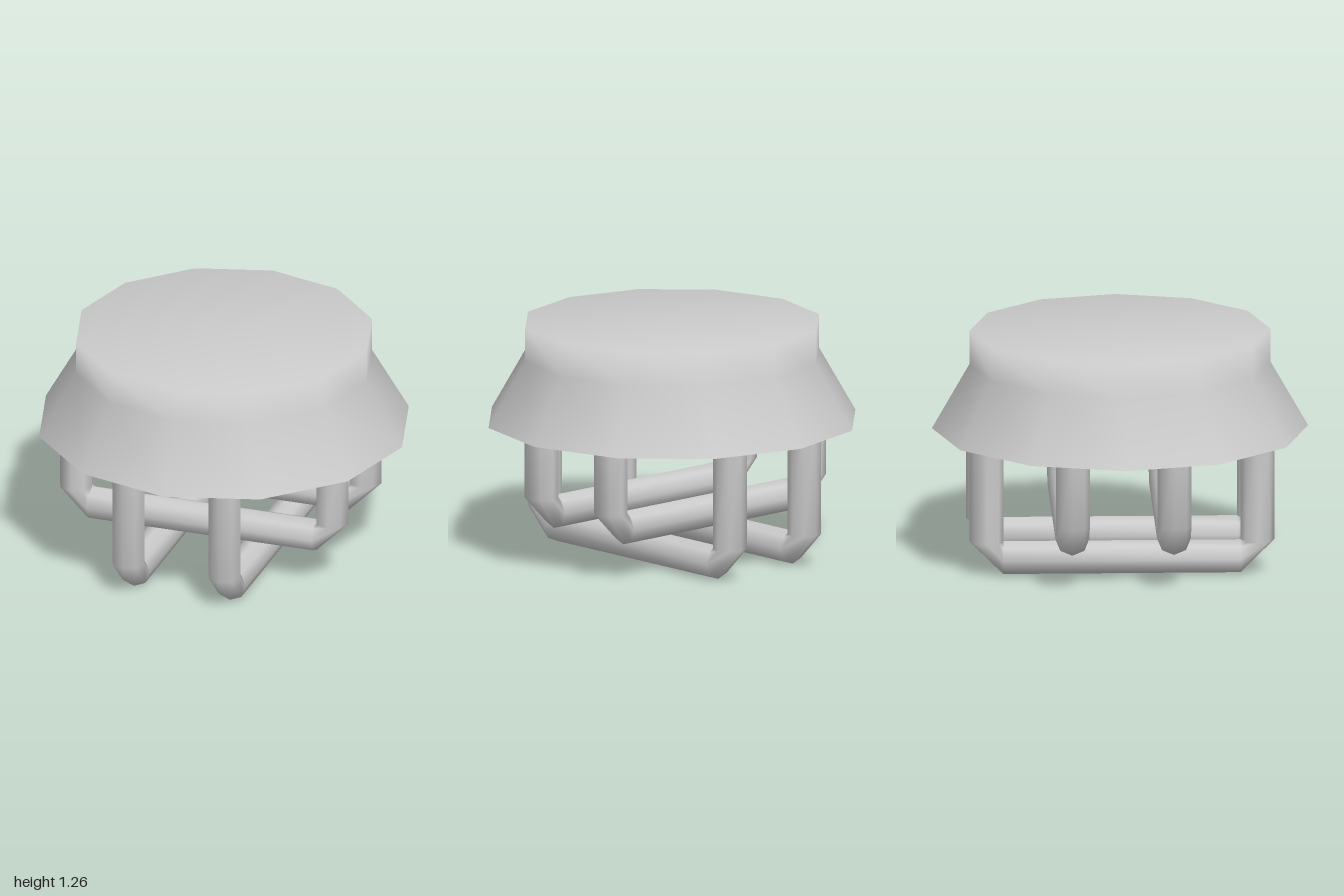
import * as THREE from 'three';
import { toCreasedNormals } from 'three/addons/utils/BufferGeometryUtils.js';

const material = new THREE.MeshStandardMaterial({ color: 0xcccccc, side: THREE.DoubleSide });
const pts = (list) => list.map(([x, y]) => new THREE.Vector2(x, y));

function addMesh(parent, name, geometry) {
  const mesh = new THREE.Mesh(geometry, material);
  mesh.name = name;
  parent.add(mesh);
  return mesh;
}

// U-shaped guard bar in the xy plane, swept through rings with a single bevel at each elbow
function guardBarGeometry(bottom, halfSpan, top) {
  const r = 0.09, sides = 8;
  const down = [0, -1], across = [1, 0], up = [0, 1];
  const rings = [
    [-halfSpan, top, down],
    [-halfSpan, bottom + 2 * r, down],
    [-halfSpan + r, bottom + r, across],
    [halfSpan - r, bottom + r, across],
    [halfSpan, bottom + 2 * r, up],
    [halfSpan, top, up],
  ];
  const positions = [], index = [];
  rings.forEach(([cx, cy, [tx, ty]], i) => {
    for (let j = 0; j < sides; j++) {
      const a = (j / sides) * Math.PI * 2;
      // side axis is z, the other axis is tangent x z
      positions.push(cx + r * Math.sin(a) * ty, cy - r * Math.sin(a) * tx, r * Math.cos(a));
      if (i < rings.length - 1) {
        const k = (j + 1) % sides;
        const p = i * sides + j, q = i * sides + k;
        index.push(p, q, q + sides, p, q + sides, p + sides);
      }
    }
  });
  const g = new THREE.BufferGeometry();
  g.setAttribute('position', new THREE.Float32BufferAttribute(positions, 3));
  g.setIndex(index);
  g.computeVertexNormals();
  return g;
}

export function createModel() {
  const model = new THREE.Group();
  model.name = 'cagedCeilingLamp';

  // Flared housing with a soft-shaded flat top
  addMesh(model, 'housing', new THREE.LatheGeometry(
    pts([[1, 0.73], [0.8, 1.08], [0.8, 1.26], [0, 1.26]]), 12));

  // Flat rim underneath and the recess holding the bulb
  addMesh(model, 'recess', toCreasedNormals(new THREE.LatheGeometry(
    pts([[0, 1.06], [0.65, 1.06], [0.65, 0.73], [1, 0.73]]), 12), 0.7));

  // Bulb lying along z inside the recess, tip towards the back
  const bulb = addMesh(model, 'bulb', new THREE.LatheGeometry(
    pts([[0, -0.47], [0.1, -0.47], [0.1, -0.38], [0.165, -0.29], [0.165, -0.02], [0.08, 0.06], [0, 0.08]]), 12));
  bulb.rotation.x = -Math.PI / 2;
  bulb.position.set(-0.15, 0.81, 0);

  // Two upper guard bars running left to right
  for (const z of [0.265, -0.275]) {
    addMesh(model, 'upperGuardBar', guardBarGeometry(0.185, 0.72, 0.8)).position.set(-0.02, 0, z);
  }

  // Two lower guard bars running front to back
  for (const x of [0.25, -0.29]) {
    const bar = addMesh(model, 'lowerGuardBar', guardBarGeometry(0, 0.72, 0.8));
    bar.rotation.y = Math.PI / 2;
    bar.position.x = x;
  }
  return model;
}
